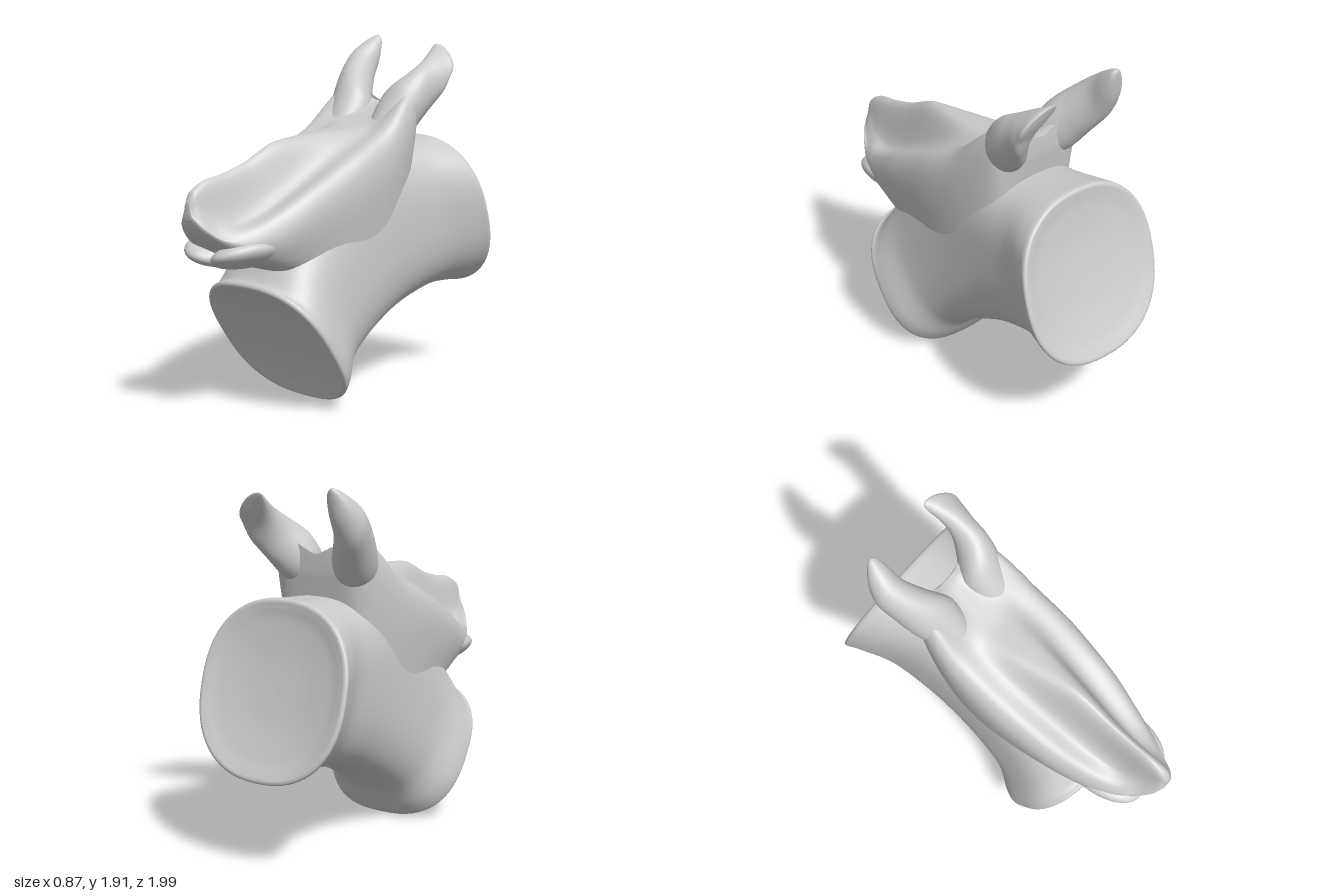
import * as THREE from 'three';

const V = (x, y, z) => new THREE.Vector3(x, y, z);
const mat = new THREE.MeshStandardMaterial({ color: 0xcccccc });

// Smooth closed skin through a list of equal-length rings, capped at both ends.
function loft(name, rings, steps) {
  const n = rings[0].length, pos = [], idx = [];
  const rails = [];
  for (let j = 0; j < n; j++) {
    rails.push(new THREE.CatmullRomCurve3(rings.map(r => r[j]), false, 'catmullrom', 0.45));
  }
  for (let i = 0; i <= steps; i++) {
    for (let j = 0; j < n; j++) pos.push(...rails[j].getPoint(i / steps).toArray());
  }
  for (let i = 0; i < steps; i++) {
    for (let j = 0; j < n; j++) {
      const a = i * n + j, b = i * n + (j + 1) % n, c = a + n, d = b + n;
      idx.push(a, b, c, b, d, c);
    }
  }
  for (const end of [0, steps]) {
    const c = V(0, 0, 0), k = pos.length / 3;
    for (let j = 0; j < n; j++) c.add(V(0, 0, 0).fromArray(pos, (end * n + j) * 3));
    pos.push(...c.divideScalar(n).toArray());
    for (let j = 0; j < n; j++) {
      const a = end * n + j, b = end * n + (j + 1) % n;
      if (end) idx.push(a, b, k); else idx.push(b, a, k);
    }
  }
  // Turn the faces outward if the enclosed volume is negative.
  let vol = 0;
  const P = i => V(0, 0, 0).fromArray(pos, i * 3);
  for (let i = 0; i < idx.length; i += 3) vol += P(idx[i]).dot(P(idx[i + 1]).cross(P(idx[i + 2])));
  if (vol < 0) idx.reverse();
  const g = new THREE.BufferGeometry();
  g.setAttribute('position', new THREE.Float32BufferAttribute(pos, 3));
  g.setIndex(idx);
  g.computeVertexNormals();
  const m = new THREE.Mesh(g, mat);
  m.name = name;
  return m;
}

// Rounded-square ring between a top and a bottom point, scaled about its middle.
function bodyRing([tz, ty, bz, by, w, n], s = 1, push = 0, dir = [0, 0]) {
  const ring = [], N = 64;
  const pw = v => Math.sign(v) * Math.pow(Math.abs(v), 2 / n);
  for (let j = 0; j < N; j++) {
    const a = (j / N) * Math.PI * 2, k = pw(Math.sin(a)) * s / 2;
    ring.push(V(pw(Math.cos(a)) * w * s,
      (ty + by) / 2 + (ty - by) * k + dir[0] * push,
      (tz + bz) / 2 + (tz - bz) * k + dir[1] * push));
  }
  return ring;
}

// Waisted main body with a rounded rim and a shallow dish at each end.
function body() {
  const st = [ // top z, top y, bottom z, bottom y, half width, squareness
    [0.62, 0.68, 0.155, 0.005, 0.415, 2.6],
    [0.58, 0.7, 0.11, 0.06, 0.4, 2.6],
    [0.47, 0.87, 0.02, 0.18, 0.34, 2.7],
    [0.25, 1.12, -0.17, 0.31, 0.315, 2.8],
    [-0.1, 1.32, -0.4, 0.42, 0.31, 2.8],
    [-0.45, 1.33, -0.68, 0.495, 0.33, 2.7],
    [-0.64, 1.35, -0.9, 0.495, 0.4, 2.5],
    [-0.71, 1.36, -0.975, 0.485, 0.432, 2.35]];
  const dish = [[0.97, 0.018], [0.9, 0.012], [0.75, -0.005], [0.4, -0.025], [0.02, -0.03]];
  const front = dish.map(([s, p]) => bodyRing(st[0], s, p, [-0.57, 0.82])).reverse();
  const back = dish.map(([s, p]) => bodyRing(st[7], s, p, [0.28, -0.96]));
  return loft('vertebralBody', [...front, ...st.map(s => bodyRing(s)), ...back], 119);
}

// Arch: a thin midline ridge, a hollow on each side, then the outer edges and walls.
function arch() {
  const st = [ // z, half width, ridge half width, ridge y, hollow y, edge y, bottom y
    [1.0, 0.03, 0.012, 1.13, 1.1, 1.08, 1.05],
    [0.965, 0.08, 0.022, 1.19, 1.1, 1.03, 0.985],
    [0.88, 0.14, 0.025, 1.235, 1.05, 0.97, 0.91],
    [0.75, 0.21, 0.027, 1.26, 1.02, 0.985, 0.82],
    [0.6, 0.26, 0.03, 1.305, 1.06, 1.05, 0.77],
    [0.4, 0.305, 0.04, 1.39, 1.16, 1.16, 0.7],
    [0.1, 0.335, 0.07, 1.42, 1.32, 1.31, 0.6],
    [-0.13, 0.33, 0.08, 1.44, 1.42, 1.42, 0.6],
    [-0.3, 0.305, 0.07, 1.5, 1.53, 1.57, 0.75],
    [-0.41, 0.27, 0.05, 1.545, 1.58, 1.65, 1.1],
    [-0.465, 0.2, 0.04, 1.555, 1.57, 1.62, 1.46]];
  const rings = st.map(([z, w, rw, r, v, e, b]) => {
    const wall = Math.min(0.09, (e - b) * 0.4);
    const half = [[rw, r - (r - v) * 0.12], [rw + (w - rw) * 0.35, v], [w * 0.84, e],
      [w, e - wall], [w * 0.94, (e - wall + b) / 2], [w * 0.7, b + (e - b) * 0.06]];
    const pts = [[0, r], ...half, [0, b], ...half.map(([x, y]) => [-x, y]).reverse()];
    const c = new THREE.CatmullRomCurve3(pts.map(([x, y]) => V(x, y, z)), true);
    return Array.from({ length: 84 }, (_, j) => c.getPoint(j / 84));
  });
  return loft('neuralArch', rings, 100);
}

// Horn: elliptical rings [x, y, z, half width, half height, roll, forward lean].
function horn(name, st) {
  const rings = st.map(([x, y, z, a, b, roll, lean]) => Array.from({ length: 32 }, (_, j) => {
    const t = (j / 32) * Math.PI * 2, p = a * Math.cos(t), q = b * Math.sin(t);
    const h = p * Math.sin(roll) + q * Math.cos(roll);
    return V(x + p * Math.cos(roll) - q * Math.sin(roll), y + h * 0.94, z + h * lean);
  }));
  return loft(name, rings, 48);
}

export function createModel() {
  const g = new THREE.Group();
  g.name = 'vertebra';
  g.add(body(), arch());

  // Pointed horn on the right, blunt one on the left
  g.add(horn('rightHorn', [
    [-0.16, 1.32, -0.16, 0.04, 0.04, 0, 0.36],
    [-0.165, 1.42, -0.28, 0.1, 0.1, 0, 0.36],
    [-0.185, 1.52, -0.39, 0.13, 0.14, 0.3, 0.36],
    [-0.24, 1.63, -0.49, 0.108, 0.13, 0.25, 0.36],
    [-0.28, 1.725, -0.58, 0.088, 0.11, 0.05, 0.36],
    [-0.275, 1.81, -0.65, 0.066, 0.08, -0.1, 0.3],
    [-0.262, 1.875, -0.69, 0.036, 0.04, -0.1, 0.2],
    [-0.26, 1.905, -0.705, 0.008, 0.01, 0, 0.2]]));
  g.add(horn('leftHorn', [
    [0.15, 1.32, -0.16, 0.04, 0.04, 0, 0.36],
    [0.155, 1.42, -0.28, 0.1, 0.1, 0, 0.36],
    [0.17, 1.52, -0.39, 0.12, 0.14, -0.3, 0.36],
    [0.215, 1.615, -0.49, 0.088, 0.125, -0.1, 0.36],
    [0.24, 1.695, -0.58, 0.07, 0.11, 0.4, 0.2],
    [0.235, 1.765, -0.65, 0.06, 0.11, 0.75, -0.15],
    [0.227, 1.795, -0.685, 0.045, 0.11, 0.85, -0.35],
    [0.222, 1.805, -0.695, 0.006, 0.06, 0.85, -0.35]]));

  // Lower lips: a pair of facets drooping to the midline under the tip
  for (const s of [-1, 1]) {
    const lip = new THREE.Mesh(new THREE.SphereGeometry(1, 40, 24), mat);
    lip.name = s > 0 ? 'leftFacet' : 'rightFacet';
    lip.scale.set(0.145, 0.07, 0.24);
    lip.position.set(s * 0.105, 0.857, 0.67);
    lip.rotation.set(0.03, s * -0.06, s * 0.34);
    g.add(lip);
  }
  return g;
}
